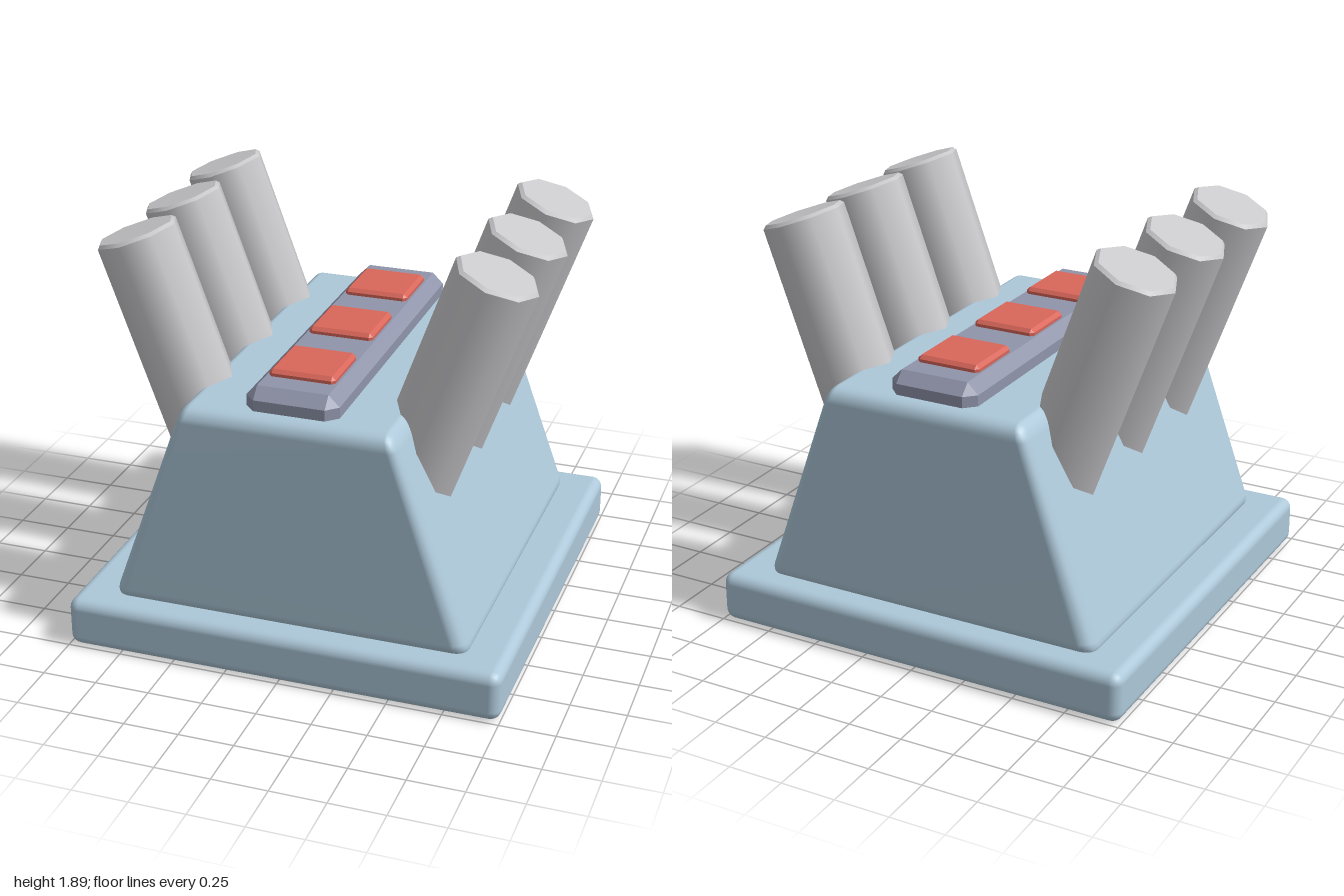
import * as THREE from 'three';
import { mergeVertices, mergeGeometries } from 'three/addons/utils/BufferGeometryUtils.js';
import { RoundedBoxGeometry } from 'three/addons/geometries/RoundedBoxGeometry.js';
import { ConvexGeometry } from 'three/addons/geometries/ConvexGeometry.js';

const material = (name, color) => {
  const m = new THREE.MeshStandardMaterial({ color });
  m.name = name;
  return m;
};

// Box with a single flat chamfer on every edge
function chamferBox(w, h, d, b) {
  const points = [];
  for (const sx of [-1, 1]) for (const sy of [-1, 1]) for (const sz of [-1, 1]) {
    const x = w / 2, y = h / 2, z = d / 2;
    for (const [px, py, pz] of [[x, y - b, z - b], [x - b, y, z - b], [x - b, y - b, z]]) {
      points.push(new THREE.Vector3(sx * px, sy * py, sz * pz));
    }
  }
  return new ConvexGeometry(points);
}

// Rounded block whose sides lean inward in x
function taperedBlock() {
  const g = new RoundedBoxGeometry(1.64, 1.0, 1.77, 3, 0.07);
  g.translate(0, 0.7, 0);
  const p = g.attributes.position;
  for (let i = 0; i < p.count; i++) {
    const half = 0.82 - 0.364 * (p.getY(i) - 0.25);
    p.setX(i, p.getX(i) * half / 0.82);
  }
  g.deleteAttribute('normal');
  g.deleteAttribute('uv');
  g.clearGroups();
  const smooth = mergeVertices(g);
  smooth.computeVertexNormals();
  return smooth;
}

// Eight-sided tube with a chamfered, closed end; the origin is the end's centre
function tubeGeometry() {
  const r = 0.189, c = 0.015, length = 1.2;
  const side = new THREE.CylinderGeometry(r, r, length - c, 8, 1, true);
  side.translate(0, -(length + c) / 2, 0);
  const end = new THREE.CylinderGeometry(r - c, r, c, 8, 1);
  end.translate(0, -c / 2, 0);
  return mergeGeometries([side, end]);
}

export function createModel() {
  const model = new THREE.Group();
  model.name = 'launcher';
  const blue = material('pale blue', 0xadc8d9);
  const grey = material('light grey', 0xcacacd);
  const slate = material('slate', 0x9095ab);
  const red = material('red', 0xd9665a);

  const add = (name, geometry, mat, x, y, z) => {
    const mesh = new THREE.Mesh(geometry, mat);
    mesh.name = name;
    mesh.position.set(x, y, z);
    model.add(mesh);
    return mesh;
  };

  add('base', new RoundedBoxGeometry(2, 0.23, 2, 3, 0.05), blue, 0, 0.115, 0);
  add('body', taperedBlock(), blue, 0, 0, 0);
  add('topPanel', chamferBox(0.42, 0.2, 1.61, 0.05), slate, 0, 1.2, 0);

  // Three rows, each with one button and a pair of outward-leaning tubes
  const button = chamferBox(0.3, 0.08, 0.3, 0.016);
  const tube = tubeGeometry();
  for (const z of [-0.5, 0, 0.5]) {
    add('button', button, red, 0, 1.29, z);
    for (const side of [-1, 1]) {
      const t = add(side > 0 ? 'leftTube' : 'rightTube', tube, grey, side * 0.81, 1.83, z);
      t.rotation.z = -side * THREE.MathUtils.degToRad(20);
    }
  }
  return model;
}
